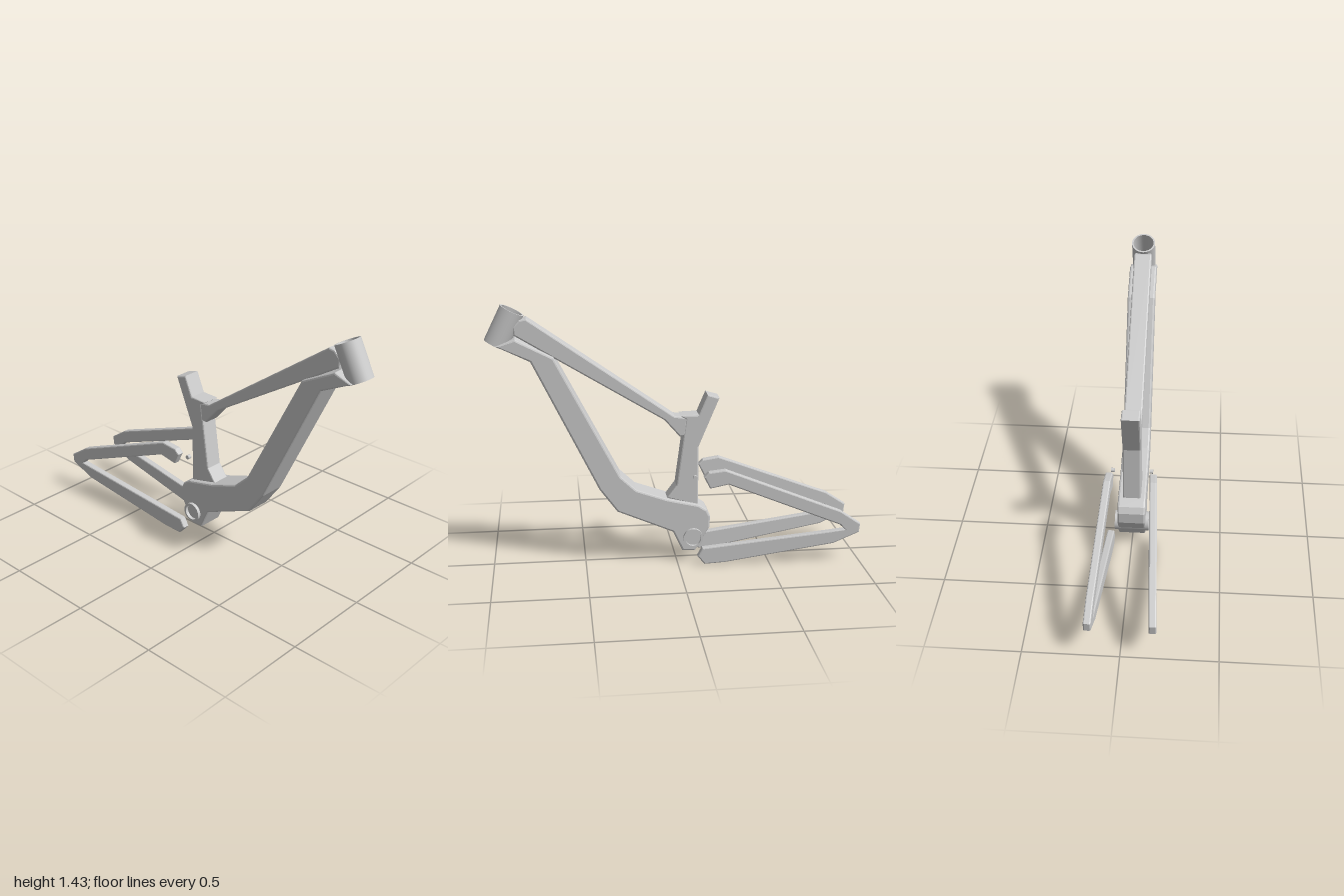
import * as THREE from 'three';

const material = new THREE.MeshStandardMaterial({ color: 0xcccccc });

function addMesh(parent, name, geometry) {
  const mesh = new THREE.Mesh(geometry, material);
  mesh.name = name;
  parent.add(mesh);
  return mesh;
}

// Bevelled slab with the given side outline, centred on z = 0
function slab(outline, halfWidth, bevel, hole) {
  const shape = new THREE.Shape(outline.map(([x, y]) => new THREE.Vector2(x, y)));
  if (hole) {
    shape.holes.push(new THREE.Path().absarc(hole.x, hole.y, hole.r, 0, Math.PI * 2, true));
  }
  const geometry = new THREE.ExtrudeGeometry(shape, {
    depth: 2 * (halfWidth - bevel), bevelEnabled: true, bevelThickness: bevel,
    bevelSize: bevel, bevelOffset: -bevel, bevelSegments: 2, curveSegments: 20,
  });
  return geometry.translate(0, 0, -halfWidth + bevel);
}

// Open tube with wall thickness, along y
function tube(outer, inner, length) {
  const h = length / 2;
  const ring = [[inner, -h], [outer, -h], [outer, -h], [outer, h], [outer, h], [inner, h], [inner, h], [inner, -h]];
  const parts = new THREE.Group();
  for (let i = 0; i < ring.length; i += 2) {
    const points = [ring[i], ring[i + 1]].map(([r, y]) => new THREE.Vector2(r, y));
    addMesh(parts, 'tubeWall', new THREE.LatheGeometry(points, 40));
  }
  return parts;
}

export function createModel() {
  const model = new THREE.Group();
  model.name = 'bicycleFrame';
  const crank = { x: -0.088, y: 0.145, r: 0.046 };

  // Main frame members
  addMesh(model, 'downTube', slab([
    [-0.18, 0.2], [-0.1, 0.065], [-0.03, 0.068], [0.022, 0.18], [0.325, 0.31], [0.42, 0.44],
    [0.765, 1.15], [0.94, 1.235], [0.84, 1.27], [0.645, 1.17], [0.305, 0.51],
    [0.22, 0.43], [0.05, 0.37], [-0.12, 0.33], [-0.165, 0.3], [-0.183, 0.265],
  ], 0.077, 0.01, crank));

  addMesh(model, 'topTube', slab([
    [-0.05, 0.72], [-0.018, 0.715], [0.065, 0.81], [0.845, 1.285], [0.85, 1.33],
    [0.815, 1.365], [0.78, 1.372], [0.01, 0.83], [-0.06, 0.82],
  ], 0.049, 0.008));

  addMesh(model, 'seatTube', slab([
    [-0.12, 0.32], [0.052, 0.37], [0, 0.44], [-0.05, 0.81], [-0.02, 0.832],
    [-0.12, 0.835], [-0.167, 0.945], [-0.233, 0.925], [-0.12, 0.655],
  ], 0.05, 0.008));

  // Head tube, leaning back
  const headTube = tube(0.066, 0.057, 0.2);
  headTube.name = 'headTube';
  headTube.position.set(0.895, 1.322, 0);
  headTube.rotation.z = Math.atan2(0.09, 0.18);
  model.add(headTube);

  // Bottom bracket shell with an inner plug
  const shell = tube(0.054, 0.043, 0.19);
  shell.name = 'bottomBracketShell';
  shell.position.set(crank.x, crank.y, 0);
  shell.rotation.x = Math.PI / 2;
  model.add(shell);
  addMesh(model, 'bracketPlug', slab([
    [-0.113, 0.105], [-0.05, 0.11], [-0.045, 0.16], [-0.075, 0.187], [-0.118, 0.178],
  ], 0.03, 0.003));

  // Rear stays splay outward toward the dropout
  const stayOutline = [
    [-0.995, 0.175], [-0.855, 0.113], [-0.255, 0.016], [-0.145, 0.008], [-0.107, 0.053],
    [-0.133, 0.102], [-0.82, 0.182], [-0.915, 0.193], [-0.888, 0.22], [-0.272, 0.465],
    [-0.172, 0.443], [-0.14, 0.508], [-0.165, 0.535], [-0.255, 0.547], [-0.888, 0.3], [-1, 0.225],
  ];
  for (const side of [1, -1]) {
    const geometry = slab(stayOutline, 0.02, 0.007);
    const p = geometry.attributes.position;
    for (let i = 0; i < p.count; i++) {
      p.setZ(i, p.getZ(i) + side * (0.116 - 0.053 * (p.getX(i) + 0.11)));
    }
    geometry.computeVertexNormals();
    addMesh(model, side > 0 ? 'leftRearStays' : 'rightRearStays', geometry);

    // Small suspension pivot
    const pivot = addMesh(model, 'pivotPin', new THREE.CylinderGeometry(0.012, 0.012, 0.02, 16));
    pivot.rotation.x = Math.PI / 2;
    pivot.position.set(-0.095, 0.5, side * 0.105);
  }
  return model;
}
